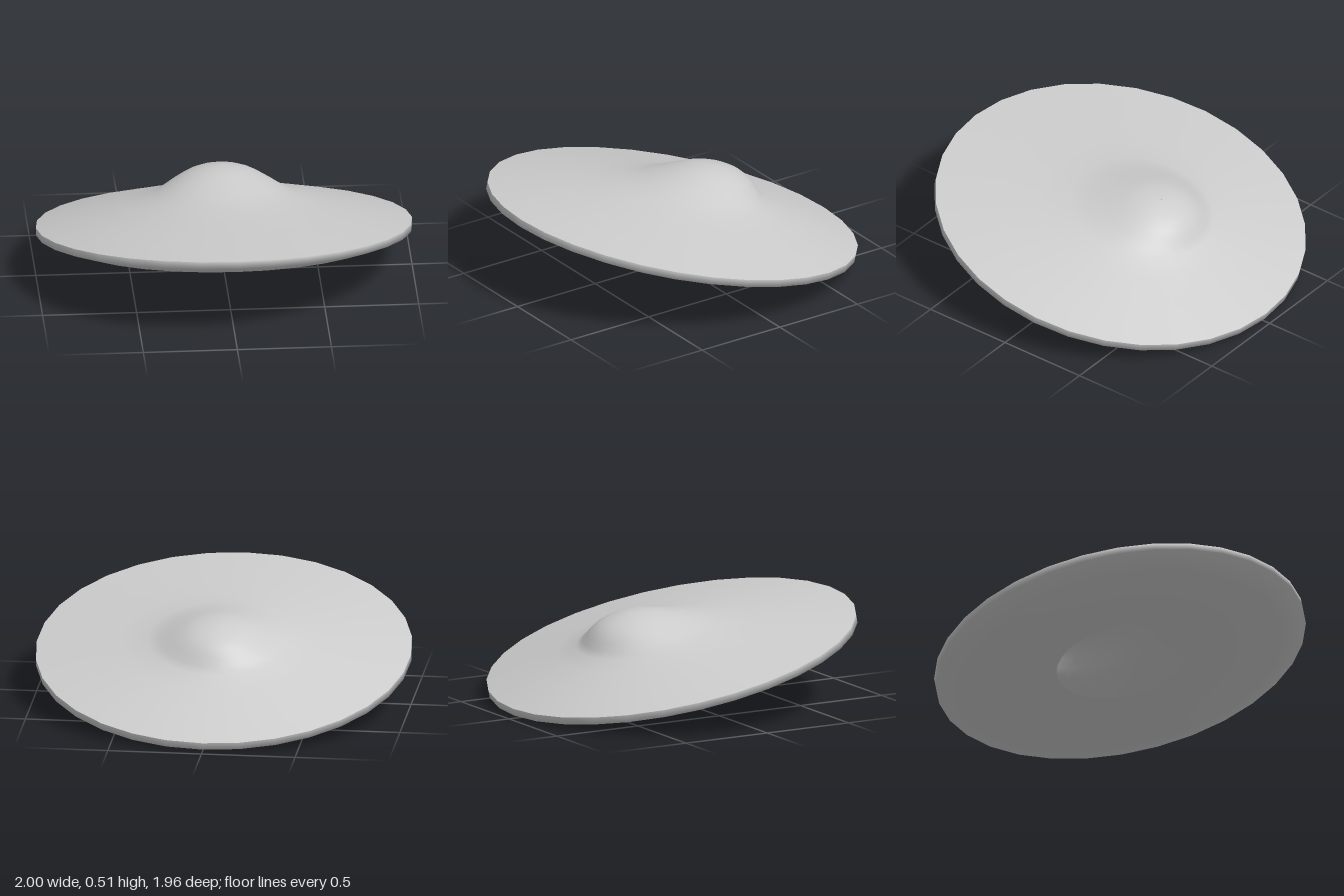
import * as THREE from 'three';

const SIDES = 32;

// Lofts a smooth surface through round sections [centre z, radius, height]
function loft(rings) {
  const pos = [], index = [];
  for (const [cz, r, h] of rings) {
    for (let j = 0; j < SIDES; j++) {
      const t = (j / SIDES) * Math.PI * 2;
      pos.push(r * Math.sin(t), h, cz + r * Math.cos(t));
    }
  }
  for (let i = 0; i < rings.length - 1; i++) {
    for (let j = 0; j < SIDES; j++) {
      const k = (j + 1) % SIDES;
      const a = i * SIDES + j, b = i * SIDES + k, c = a + SIDES, d = b + SIDES;
      index.push(a, b, c, b, d, c);
    }
  }
  const g = new THREE.BufferGeometry();
  g.setAttribute('position', new THREE.Float32BufferAttribute(pos, 3));
  g.setIndex(index);
  g.computeVertexNormals();
  return g;
}

export function createModel() {
  const model = new THREE.Group();
  const material = new THREE.MeshStandardMaterial({ color: 0xcccccc, side: THREE.DoubleSide });

  const disc = new THREE.Group();
  disc.name = 'tiltedDisc';
  disc.rotation.x = -0.227;
  disc.position.y = 0.278;
  model.add(disc);

  const add = (name, geometry) => {
    const mesh = new THREE.Mesh(geometry, material);
    mesh.name = name;
    disc.add(mesh);
  };

  // Sloping brim that rises into a dome leaning towards the back
  add('brimAndDome', loft([
    [0, 1, 0], [-0.03, 0.84, 0.033], [-0.06, 0.69, 0.064], [-0.09, 0.53, 0.096],
    [-0.115, 0.39, 0.128], [-0.15, 0.32, 0.16], [-0.178, 0.265, 0.192],
    [-0.203, 0.205, 0.224], [-0.212, 0.16, 0.245], [-0.217, 0.113, 0.26],
    [-0.22, 0.055, 0.27], [-0.22, 0.001, 0.273],
  ]));

  // Rim and flat underside around the round opening
  const profile = [[0.355, -0.085], [0.6, -0.085], [0.86, -0.085], [1, -0.039], [1, 0]]
    .map(([r, h]) => new THREE.Vector2(r, h));
  add('rimAndUnderside', new THREE.LatheGeometry(profile, SIDES));

  return model;
}
